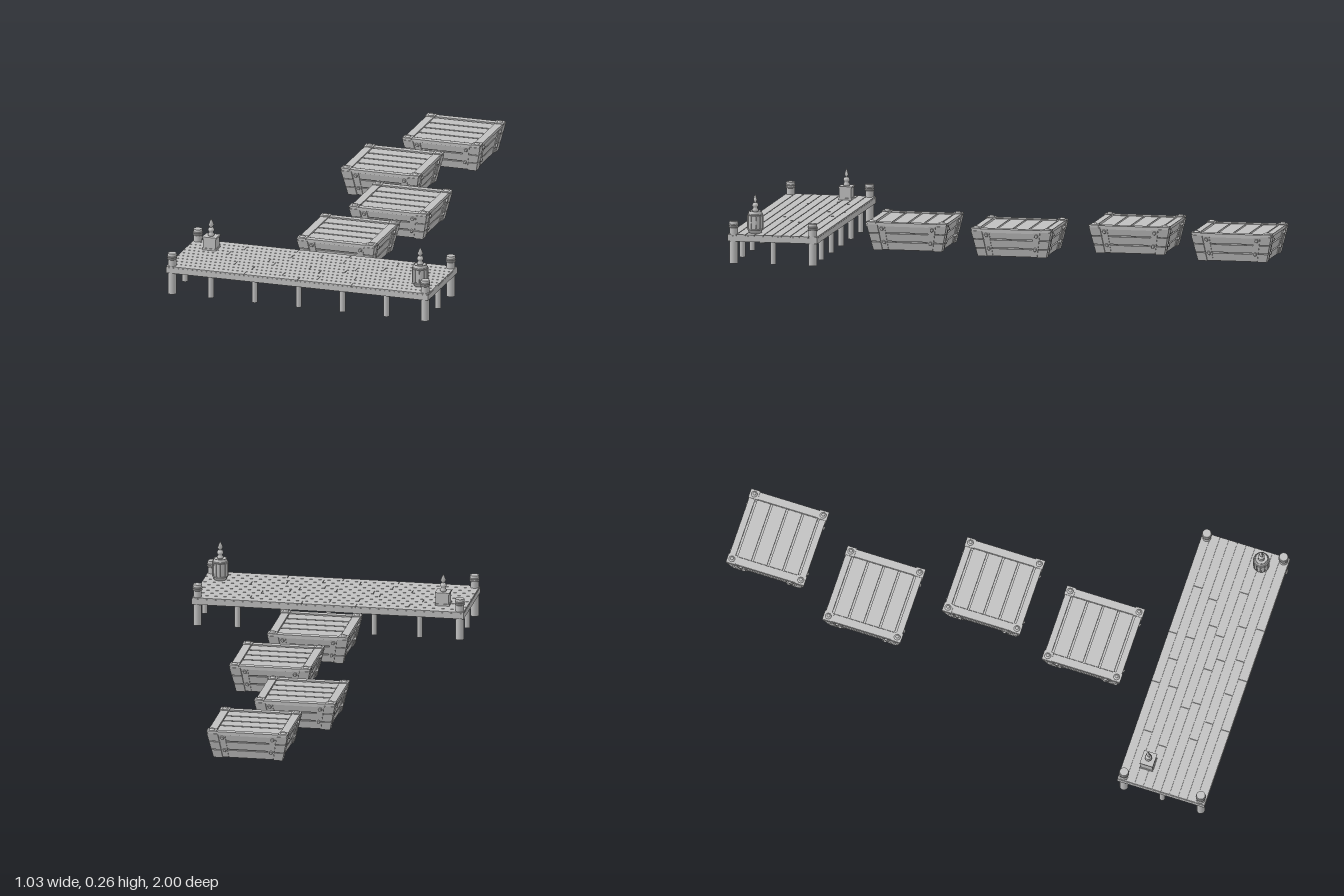
import * as THREE from 'three';
import { mergeGeometries } from 'three/addons/utils/BufferGeometryUtils.js';

const grey = new THREE.MeshStandardMaterial({ color: 0xc0c0c0 });
grey.name = 'plain grey';

// Box given by its centre and size
const box = (x, y, z, w, h, d) => new THREE.BoxGeometry(w, h, d).translate(x, y, z);
// Upright cylinder given by its base
const rod = (x, y, z, r, h, sides = 16, top = r) =>
  new THREE.CylinderGeometry(top, r, h, sides).translate(x, y + h / 2, z);

function part(name, geometries, parent) {
  const mesh = new THREE.Mesh(mergeGeometries(geometries), grey);
  mesh.name = name;
  parent.add(mesh);
  return mesh;
}

// Narrow a crate part towards the ground
function taper(geometry) {
  const p = geometry.attributes.position;
  for (let i = 0; i < p.count; i++) {
    const k = 0.84 + 0.16 * Math.min(1, p.getY(i) / 0.11);
    p.setX(i, p.getX(i) * k);
    p.setZ(i, p.getZ(i) * k);
  }
  geometry.computeVertexNormals();
  return geometry;
}

function createCrate() {
  const crate = new THREE.Group();
  const walls = [box(0, 0.057, 0, 0.276, 0.096, 0.276)];
  const corners = [], straps = [], bolts = [], lid = [], caps = [];

  // Three tiers of wall boards with corner blocks
  for (let t = 0; t < 3; t++) {
    const y = 0.025 + t * 0.0335;
    walls.push(box(0, y, 0, 0.292, 0.029, 0.292));
    for (const sx of [-1, 1]) for (const sz of [-1, 1])
      corners.push(box(sx * 0.1325, y, sz * 0.1325, 0.041, 0.031, 0.041));
  }

  // Two bolted straps on each side
  for (let side = 0; side < 4; side++) {
    for (const s of [-1, 1]) {
      const turn = (g) => g.rotateY(side * Math.PI / 2);
      straps.push(turn(box(s * 0.098, 0.06, 0.146, 0.025, 0.096, 0.008)));
      for (const y of [0.04, 0.092]) {
        const bolt = new THREE.CylinderGeometry(0.006, 0.008, 0.008, 10);
        bolts.push(turn(bolt.rotateX(Math.PI / 2).translate(s * 0.098, y, 0.153)));
      }
    }
  }

  // Lid boards inside a frame, with a bolted cap on every corner
  lid.push(box(0, 0.104, 0, 0.29, 0.006, 0.29));
  for (let i = 0; i < 4; i++) lid.push(box(0, 0.109, (i - 1.5) * 0.061, 0.236, 0.008, 0.054));
  for (const s of [-1, 1]) {
    lid.push(box(s * 0.135, 0.11, 0, 0.03, 0.011, 0.3));
    lid.push(box(0, 0.11, s * 0.138, 0.24, 0.011, 0.024));
    for (const q of [-1, 1]) {
      caps.push(box(s * 0.135, 0.115, q * 0.135, 0.036, 0.006, 0.036));
      caps.push(rod(s * 0.135, 0.118, q * 0.135, 0.012, 0.006, 10, 0.006));
    }
  }
  part('crateWalls', walls.map(taper), crate);
  part('crateCorners', corners.map(taper), crate);
  part('crateStraps', straps.map(taper), crate);
  part('crateBolts', bolts.map(taper), crate);
  part('crateLid', lid, crate);
  part('crateCornerCaps', caps, crate);
  return crate;
}

function createDeck() {
  const deck = new THREE.Group();
  deck.name = 'deck';
  const zMid = 0.827, width = 1.03, depth = 0.342;
  part('deckFrame', [box(0, 0.0945, zMid, width, 0.021, depth)], deck);

  // Ten rows of planks with staggered joints
  const joints = [[-0.105, 0.1], [-0.3, 0, 0.3], [-0.105, 0.1], [-0.34, 0.27],
    [-0.17, 0.17], [-0.14, 0, 0.14], [-0.28, 0.05, 0.33], [-0.2, 0.2],
    [-0.07, 0.07], [-0.21, 0, 0.21]];
  const planks = [], row = depth / 10, gap = 0.002;
  joints.forEach((cuts, i) => {
    const ends = [-width / 2, ...cuts, width / 2];
    const z = zMid - depth / 2 + (i + 0.5) * row;
    for (let j = 1; j < ends.length; j++)
      planks.push(box((ends[j] + ends[j - 1]) / 2, 0.1075, z,
        ends[j] - ends[j - 1] - gap, 0.005, row - gap));
  });
  part('deckPlanks', planks, deck);

  // Corner posts with rope bands, and thinner legs between them
  const posts = [], ropes = [], legs = [];
  for (const z of [0.677, 0.978]) {
    for (const x of [-0.497, 0.497]) {
      posts.push(rod(x, 0, z, 0.016, 0.15), rod(x, 0.15, z, 0.0175, 0.008, 16, 0.0165));
      for (const y of [0.137, 0.145])
        ropes.push(new THREE.TorusGeometry(0.016, 0.003, 6, 20).rotateX(Math.PI / 2).translate(x, y, z));
    }
    for (let i = -2; i <= 2; i++) legs.push(rod(i * 0.1725, 0, z, 0.011, 0.09, 12));
  }
  for (const x of [-0.497, 0.497]) legs.push(rod(x, 0, zMid, 0.011, 0.09, 12));
  part('cornerPosts', posts, deck);
  part('ropeBands', ropes, deck);
  part('deckLegs', legs, deck);
  return deck;
}

// Lantern: a small turned body under a flattened pointed flame
function createLantern(x, y, z) {
  const lantern = new THREE.Group();
  lantern.name = 'lantern';
  const turned = (pts) => new THREE.LatheGeometry(pts.map((p) => new THREE.Vector2(...p)), 12);
  part('lanternBody', [turned([[0, 0], [0.011, 0], [0.013, 0.006], [0.009, 0.011],
    [0.009, 0.017], [0.013, 0.021], [0.011, 0.028], [0.007, 0.032], [0, 0.032]])], lantern);
  part('flame', [turned([[0, 0.031], [0.006, 0.034], [0.011, 0.043], [0.006, 0.056], [0, 0.067]])
    .scale(1, 1, 0.6).rotateY(0.6)], lantern);
  lantern.position.set(x, y, z);
  return lantern;
}

function createBarrel() {
  const barrel = new THREE.Group();
  barrel.name = 'barrel';
  const profile = [[0, 0], [0.024, 0], [0.028, 0.02], [0.0295, 0.04], [0.028, 0.062],
    [0.025, 0.082], [0.021, 0.082], [0.021, 0.077], [0, 0.077]];
  part('barrelBody', [new THREE.LatheGeometry(profile.map((p) => new THREE.Vector2(...p)), 20)], barrel);
  // Raised staves and hoops
  const staves = [], hoops = [];
  for (let i = 0; i < 12; i++)
    staves.push(box(0, 0.041, 0.0285, 0.011, 0.05, 0.004).rotateY(i * Math.PI / 6));
  for (const y of [0.013, 0.069])
    hoops.push(new THREE.TorusGeometry(0.0272, 0.003, 6, 24).rotateX(Math.PI / 2).translate(0, y, 0));
  part('barrelStaves', staves, barrel);
  part('barrelHoops', hoops, barrel);
  barrel.position.set(0.453, 0.11, 0.905);
  return barrel;
}

export function createModel() {
  const model = new THREE.Group();
  model.name = 'dockWithCrates';
  model.add(createDeck(), createBarrel());
  model.add(createLantern(0.453, 0.191, 0.905), createLantern(-0.421, 0.161, 0.748));

  // Small box below the second lantern
  part('smallBox', [box(-0.421, 0.135, 0.748, 0.05, 0.05, 0.046),
    box(-0.421, 0.114, 0.748, 0.055, 0.007, 0.051),
    box(-0.421, 0.158, 0.748, 0.055, 0.006, 0.051)], model);

  // Crates in a staggered line behind the deck
  [[0, 0.395], [0.067, -0.018], [-0.104, -0.431], [0, -0.843]].forEach(([x, z], i) => {
    const crate = createCrate();
    crate.name = 'crate' + (i + 1);
    crate.position.set(x, 0, z);
    model.add(crate);
  });
  return model;
}
